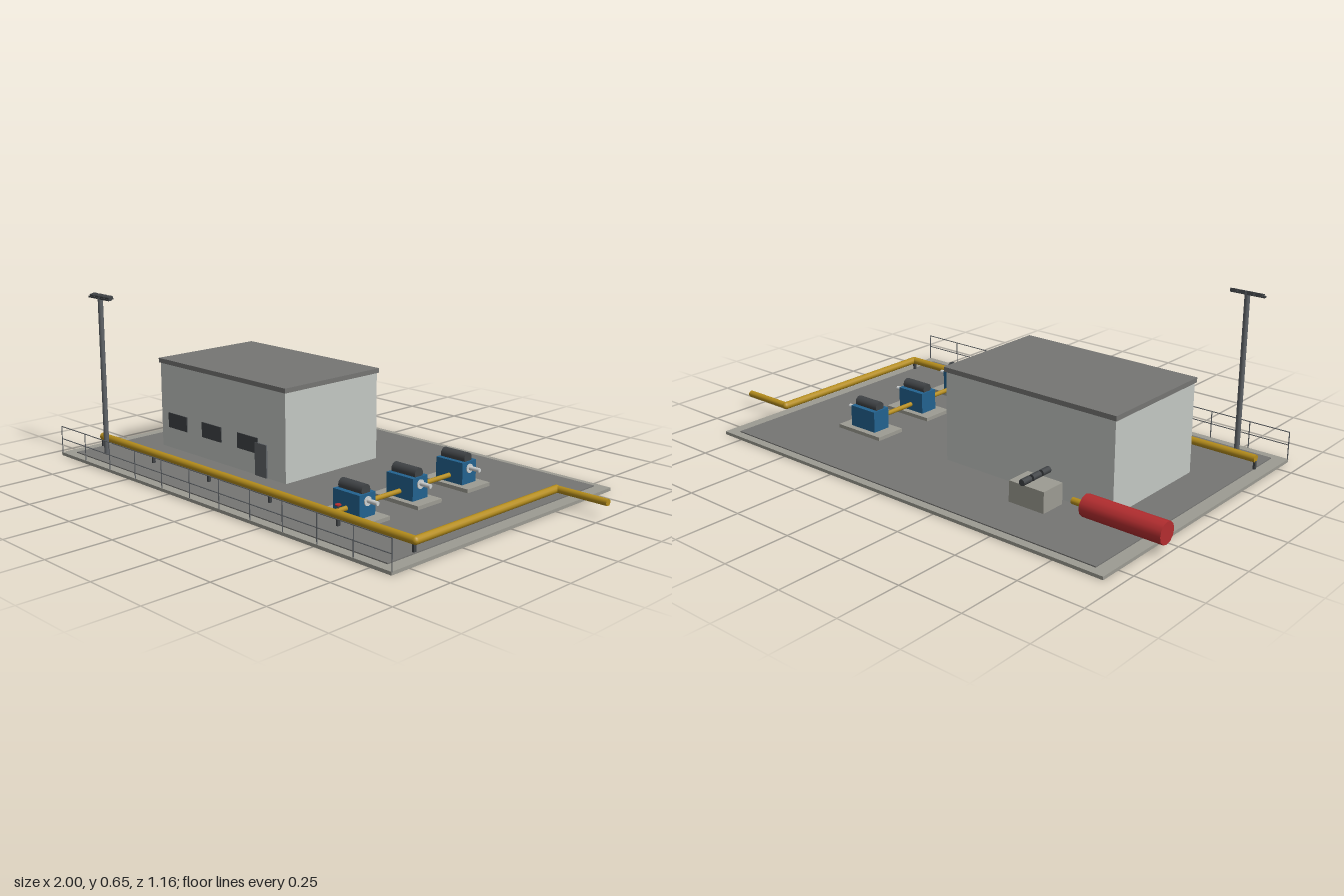
import * as THREE from 'three';

const mat = (name, color) => {
  const m = new THREE.MeshStandardMaterial({ color });
  m.name = name;
  return m;
};

export function createModel() {
  const kerbGrey = mat('kerb concrete', 0x9c9b92);
  const darkGrey = mat('dark concrete', 0x757573);
  const wallGrey = mat('wall', 0xc3c7c3);
  const steel = mat('steel', 0x606468);
  const charcoal = mat('charcoal', 0x404346);
  const blue = mat('pump blue', 0x22628f);
  const yellow = mat('pipe yellow', 0xb58d1c);
  const red = mat('tank red', 0xb32d2f);
  const pale = mat('pale metal', 0xcfd2d2);

  const root = new THREE.Group();
  root.name = 'pumpStation';

  // box given by its bounds
  const box = (name, m, x0, x1, y0, y1, z0, z1, parent = root) => {
    const mesh = new THREE.Mesh(new THREE.BoxGeometry(x1 - x0, y1 - y0, z1 - z0), m);
    mesh.position.set((x0 + x1) / 2, (y0 + y1) / 2, (z0 + z1) / 2);
    mesh.name = name;
    parent.add(mesh);
    return mesh;
  };
  // round bar between two points
  const up = new THREE.Vector3(0, 1, 0);
  const bar = (name, m, a, b, r, sides = 12, parent = root) => {
    const p = new THREE.Vector3(...a), q = new THREE.Vector3(...b);
    const d = q.clone().sub(p);
    const mesh = new THREE.Mesh(new THREE.CylinderGeometry(r, r, d.length(), sides), m);
    mesh.position.copy(p).add(q).multiplyScalar(0.5);
    mesh.quaternion.setFromUnitVectors(up, d.normalize());
    mesh.name = name;
    parent.add(mesh);
    return mesh;
  };

  // Ground slab
  box('baseSlab', kerbGrey, -0.945, 0.84, 0, 0.012, -0.582, 0.582);
  box('pavedYard', darkGrey, -0.895, 0.79, 0.01, 0.016, -0.55, 0.545);

  // Control building
  const building = new THREE.Group();
  building.name = 'building';
  root.add(building);
  box('walls', wallGrey, -0.738, -0.004, 0.015, 0.358, -0.238, 0.238, building);
  box('roof', darkGrey, -0.744, 0.002, 0.357, 0.375, -0.244, 0.243, building);
  for (const x of [-0.634, -0.424, -0.213]) {
    box('window', charcoal, x - 0.058, x + 0.058, 0.1, 0.16, 0.236, 0.242, building);
  }
  box('door', steel, -0.168, -0.104, 0.015, 0.143, 0.237, 0.244, building);

  // Main pipe run with rounded elbows
  const py = 0.055, pz = 0.417, px = 0.787, qz = -0.32, pr = 0.0145;
  const run = [[-0.9, py, pz], [px, py, pz], [px, py, qz], [1, py, qz]];
  for (let i = 0; i < 3; i++) bar('mainPipe', yellow, run[i], run[i + 1], i === 2 ? 0.013 : pr);
  for (const p of [run[1], run[2]]) {
    const elbow = new THREE.Mesh(new THREE.SphereGeometry(pr, 12, 8), yellow);
    elbow.position.set(...p);
    elbow.name = 'pipeElbow';
    root.add(elbow);
  }
  // Pipe supports
  for (let i = 0; i < 6; i++) {
    const x = -0.897 + i * 0.336;
    box('pipeSupport', charcoal, x - 0.004, x + 0.004, 0.014, 0.045, pz - 0.006, pz + 0.006);
  }

  // Pumps on plinths
  for (const z of [-0.213, 0.052, 0.315]) {
    const pump = new THREE.Group();
    pump.name = 'pump';
    pump.position.set(0.42, 0, z);
    root.add(pump);
    box('plinth', kerbGrey, -0.11, 0.108, 0.014, 0.03, -0.062, 0.062, pump);
    box('pumpBody', blue, -0.062, 0.062, 0.03, 0.112, -0.038, 0.038, pump);
    bar('motor', charcoal, [-0.055, 0.122, 0], [0.055, 0.122, 0], 0.021, 16, pump);
    bar('flange', pale, [0.061, 0.086, 0], [0.066, 0.086, 0], 0.017, 16, pump);
    bar('shaft', pale, [0.062, 0.088, 0], [0.11, 0.088, 0], 0.008, 10, pump);
  }
  // Header joining the pumps to the main pipe
  bar('headerPipe', yellow, [0.42, py, -0.213], [0.42, py, pz], 0.009, 10);
  bar('valveStem', charcoal, [0.42, py, 0.39], [0.42, 0.076, 0.39], 0.003, 8);
  bar('valveWheel', red, [0.42, 0.074, 0.39], [0.42, 0.078, 0.39], 0.011, 12);

  // Red tank and its nozzle
  bar('tank', red, [-1, 0.075, -0.322], [-0.688, 0.075, -0.322], 0.04, 12);
  bar('tankNozzle', yellow, [-0.69, 0.075, -0.322], [-0.635, 0.075, -0.322], 0.012, 12);

  // Transformer with three insulators
  box('transformer', kerbGrey, -0.551, -0.402, 0.014, 0.095, -0.368, -0.266);
  for (const z of [-0.372, -0.32, -0.268]) {
    bar('insulator', charcoal, [-0.477, 0.116, z - 0.021], [-0.477, 0.116, z + 0.021], 0.012, 12);
  }

  // Floodlight mast
  bar('mast', steel, [-0.79, 0.012, 0.475], [-0.79, 0.636, 0.475], 0.01, 12);
  box('lampCrossbar', charcoal, -0.86, -0.725, 0.632, 0.638, 0.468, 0.482);
  for (let i = 0; i < 4; i++) {
    const x = -0.842 + i * 0.033;
    const lamp = box('floodlight', charcoal, x - 0.013, x + 0.013, 0.634, 0.647, 0.457, 0.478);
    lamp.rotation.x = 0.25;
  }

  // Front railing
  const railing = new THREE.Group();
  railing.name = 'railing';
  root.add(railing);
  for (let i = 0; i < 12; i++) {
    const x = -0.943 + i * 0.162;
    bar('railPost', steel, [x, 0.01, 0.579], [x, 0.119, 0.579], 0.002, 6, railing);
  }
  for (const y of [0.068, 0.118]) {
    bar('rail', steel, [-0.943, y, 0.579], [0.839, y, 0.579], 0.0018, 6, railing);
  }

  return root;
}
